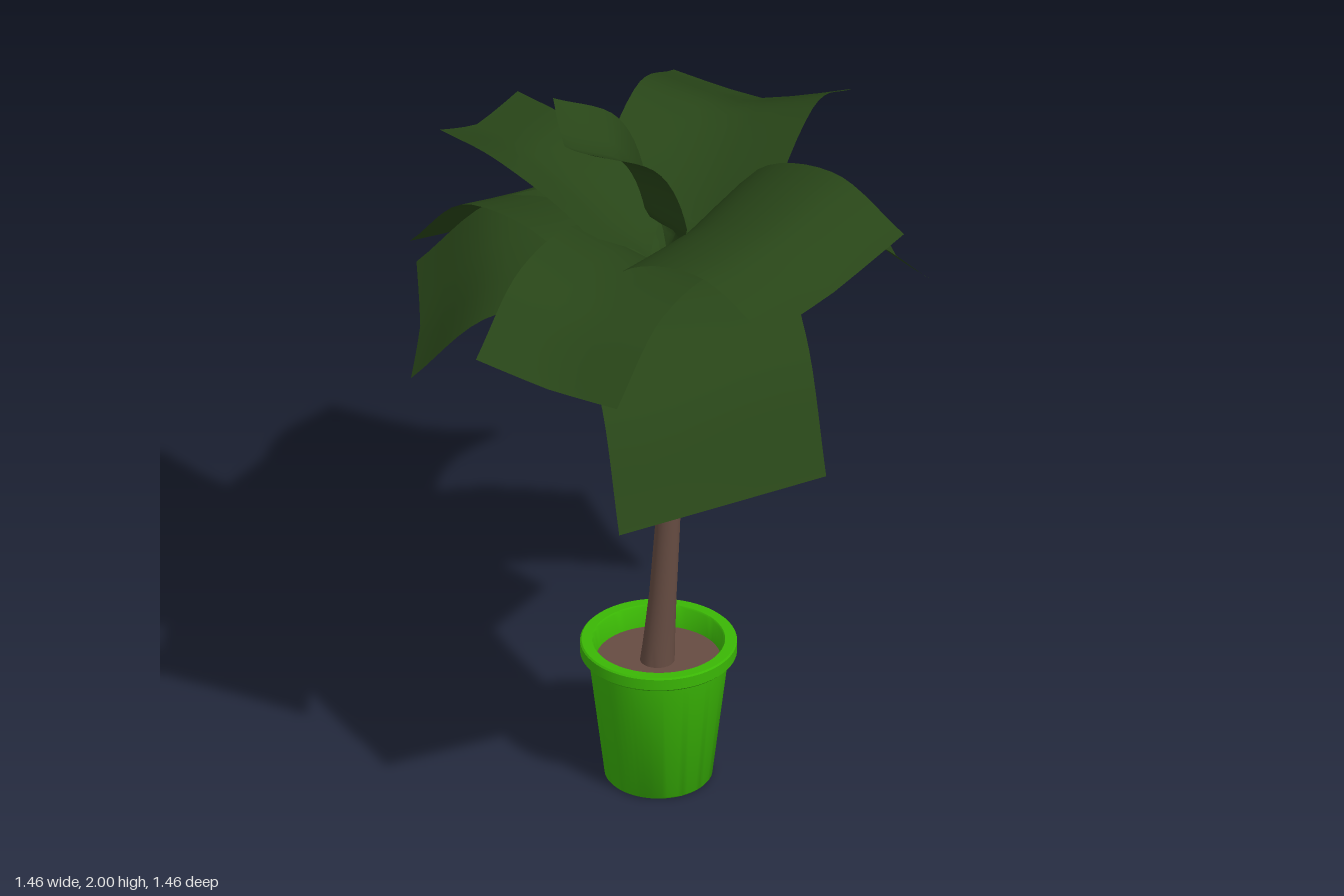
import * as THREE from 'three';
import { toCreasedNormals } from 'three/addons/utils/BufferGeometryUtils.js';

const V = (x, y, z) => new THREE.Vector3(x, y, z);
const lerp = THREE.MathUtils.lerp;

// Surface of revolution from [radius, height] pairs
function lathe(profile, sides) {
  const points = profile.map(([r, y]) => new THREE.Vector2(r, y));
  return new THREE.LatheGeometry(points, sides);
}

// Broad frond: a strip swept along an arching midrib, with a shallow valley fold.
// left and right are the tip corners, y1 and y2 the heights along the arch,
// sag the depth of the fold and bow a sideways shift of the inner half along z.
function frond({ left, right, y1, y2, f2 = 0.67, sag = 0.025, bow = 0 }) {
  const base = V(0.05, 1.47, 0.025);
  const a = V(...left), b = V(...right);
  const tip = a.clone().add(b).multiplyScalar(0.5);
  const at = (f, y) => V(lerp(base.x, tip.x, f), y, lerp(base.z, tip.z, f) + bow);
  const curve = new THREE.CatmullRomCurve3([base, at(0.13, y1), at(f2, y2), tip]);
  const side = b.clone().sub(a).multiplyScalar(0.5);
  const rows = 20, cols = 6;
  const pos = [], index = [];
  for (let i = 0; i <= rows; i++) {
    const t = i / rows;
    const c = curve.getPoint(t);
    const down = curve.getTangent(t).cross(side).normalize();
    if (down.y > 0) down.negate();
    const w = lerp(0.025, 1, THREE.MathUtils.smoothstep(t, 0.13, 0.36));
    for (let j = 0; j <= cols; j++) {
      const u = (j / cols) * 2 - 1;
      const p = c.clone().addScaledVector(side, u * w)
        .addScaledVector(down, sag * w * (1 - Math.pow(Math.abs(u), 1.2)));
      pos.push(p.x, p.y, p.z);
      if (i < rows && j < cols) {
        const k = i * (cols + 1) + j, n = k + cols + 1;
        index.push(k, k + 1, n, k + 1, n + 1, n);
      }
    }
  }
  const g = new THREE.BufferGeometry();
  g.setAttribute('position', new THREE.Float32BufferAttribute(pos, 3));
  g.setIndex(index);
  g.computeVertexNormals();
  return g;
}

export function createModel() {
  const mat = (name, color) => {
    const m = new THREE.MeshStandardMaterial({ color });
    m.name = name;
    return m;
  };
  const potGreen = mat('potGreen', 0x3ab605);
  const bark = mat('bark', 0x664c42);
  const leafGreen = mat('leafGreen', 0x284518);
  leafGreen.side = THREE.DoubleSide;

  const model = new THREE.Group();
  const add = (name, geometry, material, x = 0, y = 0, z = 0) => {
    const mesh = new THREE.Mesh(geometry, material);
    mesh.name = name;
    mesh.position.set(x, y, z);
    model.add(mesh);
  };

  // Pot with an overhanging rim and hollow top
  const pot = lathe([
    [0, 0], [0.136, 0], [0.141, 0.006], [0.184, 0.366], [0.2, 0.366], [0.205, 0.371],
    [0.205, 0.402], [0.201, 0.406], [0.174, 0.406], [0.17, 0.402], [0.162, 0.33],
  ], 64);
  add('pot', toCreasedNormals(pot, 0.7), potGreen, 0.037, 0, 0.035);

  // Soil
  const soil = new THREE.CircleGeometry(0.167, 48).rotateX(-Math.PI / 2);
  add('soil', soil, bark, 0.037, 0.345, 0.035);

  // Trunk: smooth lower stem, then flared collars, bent along a gentle curve
  const trunk = lathe([
    [0.046, 0.335], [0.042, 0.4], [0.036, 0.55], [0.033, 0.75], [0.034, 0.88], [0.04, 1.02],
    [0.049, 1.15], [0.056, 1.16], [0.049, 1.165], [0.052, 1.235], [0.06, 1.245],
    [0.052, 1.25], [0.056, 1.315], [0.065, 1.325], [0.052, 1.33], [0.051, 1.395],
    [0.058, 1.405], [0.046, 1.41], [0.042, 1.455], [0.032, 1.485], [0, 1.49],
  ], 24);
  const bend = new THREE.CatmullRomCurve3([
    V(0.037, 0.33, 0.04), V(0.05, 0.6, 0.029), V(0.06, 0.85, 0.021),
    V(0.057, 1.05, 0.019), V(0.05, 1.25, 0.02), V(0.05, 1.52, 0.022),
  ]);
  const p = trunk.attributes.position;
  for (let i = 0; i < p.count; i++) {
    const c = bend.getPoint(THREE.MathUtils.clamp((p.getY(i) - 0.33) / 1.19, 0, 1));
    p.setX(i, p.getX(i) + c.x);
    p.setZ(i, p.getZ(i) + c.z);
  }
  add('trunk', toCreasedNormals(trunk, 0.6), bark);

  // Crown of ten fronds
  const fronds = {
    uprightFrond: { left: [-0.2, 2, 0.2], right: [0.1, 2, 0.29], y1: 1.72, y2: 1.91, f2: 0.45, sag: 0.06, bow: -0.045 },
    backRightHighFrond: { left: [-0.53, 1.69, -0.45], right: [-0.13, 1.72, -0.73], y1: 1.65, y2: 1.81, f2: 0.62, sag: 0.05 },
    backRightLowFrond: { left: [-0.34, 1.13, -0.34], right: [-0.06, 1.2, -0.59], y1: 1.59, y2: 1.44 },
    backLeftFrond: { left: [0, 1.43, -0.7], right: [0.39, 1.43, -0.6], y1: 1.64, y2: 1.62, sag: 0.035 },
    leftHighFrond: { left: [0.6, 1.77, -0.34], right: [0.73, 1.72, 0.21], y1: 1.71, y2: 1.825, f2: 0.6 },
    leftLowFrond: { left: [0.71, 1.21, 0], right: [0.54, 1.15, 0.55], y1: 1.57, y2: 1.475, sag: 0.01 },
    frontLeftFrond: { left: [0.53, 1.53, 0.55], right: [0.16, 1.57, 0.73], y1: 1.64, y2: 1.685, f2: 0.64 },
    frontRightLowFrond: { left: [-0.21, 1.31, 0.66], right: [-0.59, 1.37, 0.35], y1: 1.59, y2: 1.545 },
    frontRightHighFrond: { left: [-0.45, 1.85, 0.38], right: [-0.56, 1.79, 0.04], y1: 1.69, y2: 1.82, f2: 0.6, sag: 0.04, bow: 0.05 },
    rightFrond: { left: [-0.67, 1.38, 0.31], right: [-0.73, 1.38, -0.26], y1: 1.64, y2: 1.61, sag: 0.05 },
  };
  for (const [name, spec] of Object.entries(fronds)) add(name, frond(spec), leafGreen);

  return model;
}
